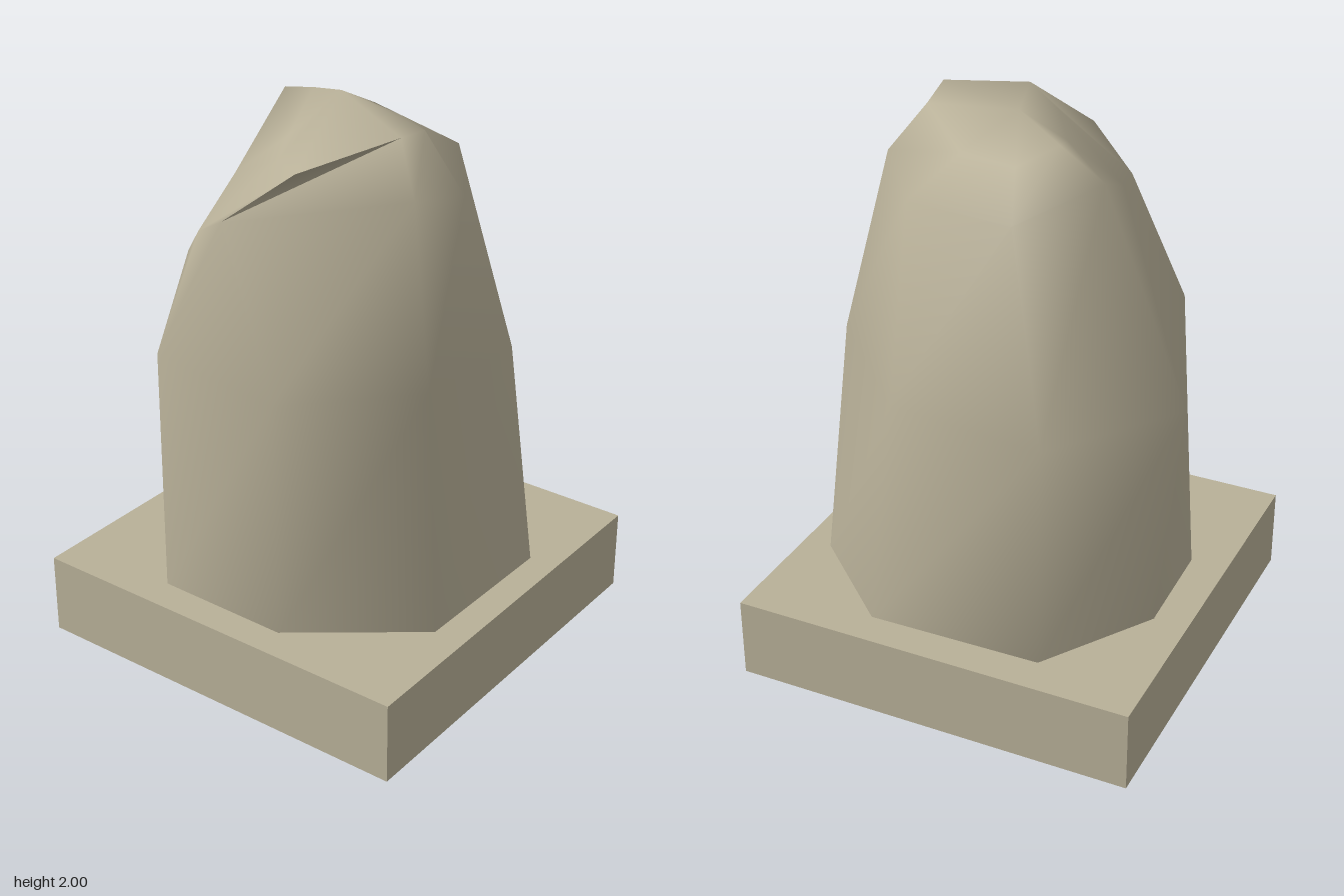
import * as THREE from 'three';

const stone = new THREE.MeshStandardMaterial({ color: 0xb8b098 });
stone.name = 'sandy stone';
const padBlue = new THREE.MeshStandardMaterial({ color: 0x7390aa });
padBlue.name = 'slate blue pad';

// Rough boulder: eight-sided cross-sections, each listed from back left
// round the left, front and right sides, closed by a single peak.
const rings = [
  [[-0.35, 0.29, -0.6], [-0.61, 0.29, -0.2], [-0.6, 0.29, 0.19], [-0.3, 0.29, 0.615],
    [0.2, 0.29, 0.62], [0.62, 0.29, 0.3], [0.63, 0.29, -0.29], [0.28, 0.29, -0.61]],
  [[-0.36, 1.13, -0.615], [-0.7, 1.165, -0.23], [-0.53, 1.36, 0.18], [-0.32, 1.18, 0.59],
    [0.24, 1.2, 0.685], [0.585, 1.2, 0.32], [0.58, 1.17, -0.18], [0.21, 1.13, -0.55]],
  [[-0.18, 1.8, -0.44], [-0.385, 1.885, -0.19], [-0.29, 1.71, 0.2], [-0.2, 1.62, 0.5],
    [0.0, 1.74, 0.62], [0.47, 1.8, 0.25], [0.51, 1.76, 0.03], [0.24, 1.77, -0.34]],
  [[-0.09, 1.9, -0.22], [-0.19, 1.945, -0.1], [-0.11, 1.86, 0.14], [0.02, 1.87, 0.36],
    [0.19, 1.9, 0.49], [0.38, 1.975, 0.2], [0.36, 1.95, 0.04], [0.13, 1.89, -0.17]],
];
const peak = [0, 2, 0];

function loftGeometry() {
  const sides = rings[0].length;
  const positions = [...rings.flat(), peak].flat();
  const index = [];
  for (let r = 0; r < rings.length; r++) {
    for (let k = 0; k < sides; k++) {
      const a = r * sides + k;
      const b = r * sides + (k + 1) % sides;
      if (r === rings.length - 1) index.push(a, b, rings.length * sides);
      else index.push(a, b, b + sides, a, b + sides, a + sides);
    }
  }
  const geometry = new THREE.BufferGeometry();
  geometry.setAttribute('position', new THREE.Float32BufferAttribute(positions, 3));
  geometry.setIndex(index);
  geometry.computeVertexNormals();
  return geometry;
}

export function createModel() {
  const model = new THREE.Group();
  model.name = 'stoneOnPlinth';
  const add = (name, geometry, material, x, y, z) => {
    const mesh = new THREE.Mesh(geometry, material);
    mesh.name = name;
    mesh.position.set(x, y, z);
    model.add(mesh);
  };

  // Square plinth
  add('plinth', new THREE.BoxGeometry(1.47, 0.297, 1.47), stone, 0, 0.1515, 0);

  // Weathered boulder
  add('boulder', loftGeometry(), stone, 0, 0, 0);

  // Thin round pads under the corners
  const pad = new THREE.CylinderGeometry(0.11, 0.11, 0.006, 16);
  for (const x of [-0.62, 0.62])
    for (const z of [-0.62, 0.62]) add('cornerPad', pad, padBlue, x, 0.003, z);

  return model;
}
